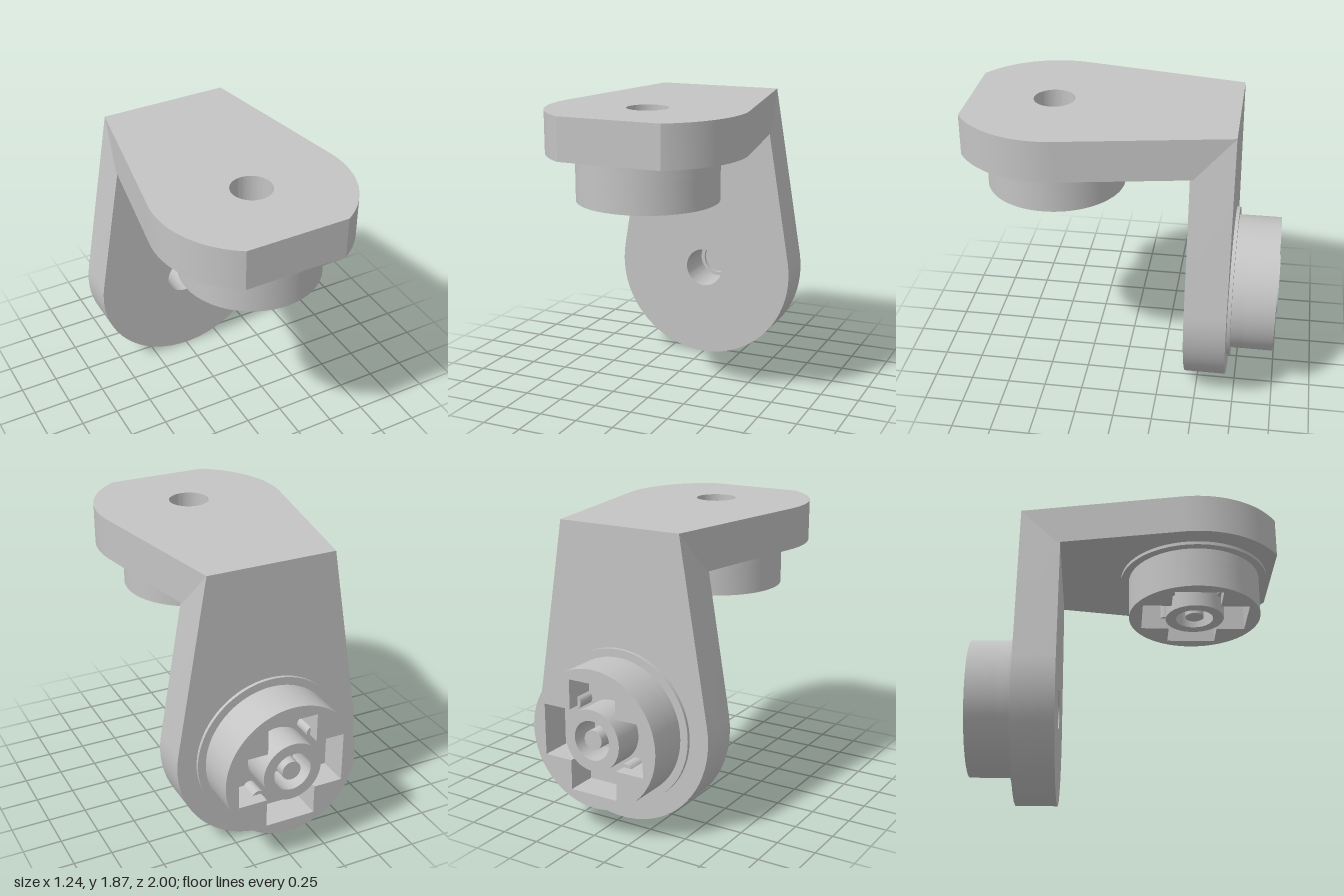
import * as THREE from 'three';
import { toCreasedNormals } from 'three/addons/utils/BufferGeometryUtils.js';

const grey = new THREE.MeshStandardMaterial({ color: 0xc4c4c4 });
grey.name = 'grey';

const R = 0.622;        // rounded end of each plate
const THICK = 0.265;    // plate thickness
const CORNER = 0.42;    // half width where the plates meet

const disc = (r, x = 0, y = 0) => new THREE.Shape().absarc(x, y, r, 0, Math.PI * 2, false);

// Extrude a shape from z0 to z1 with smooth curves and sharp edges
function slab(name, shape, z0, z1, holes = []) {
  shape.holes.push(...holes);
  const geo = new THREE.ExtrudeGeometry(shape, { depth: z1 - z0, bevelEnabled: false, curveSegments: 48 });
  geo.translate(0, 0, z0);
  const mesh = new THREE.Mesh(toCreasedNormals(geo, 0.5), grey);
  mesh.name = name;
  return mesh;
}

// Tapered plate outline: round end at the origin, narrow end at y = length
function plateShape(length, cut) {
  const t = Math.atan2(length, CORNER) - Math.acos(R / Math.hypot(CORNER, length));
  const c = Math.asin(cut / R);
  const points = [];
  const addArc = (from, to) => {
    for (let i = 0; i <= 40; i++) {
      const a = from + (to - from) * i / 40;
      points.push(new THREE.Vector2(R * Math.cos(a), R * Math.sin(a)));
    }
  };
  if (cut < R) {
    addArc(Math.PI - t, Math.PI + c);
    addArc(-c, t);
  } else {
    addArc(Math.PI - t, Math.PI * 2 + t);
  }
  points.push(new THREE.Vector2(CORNER, length), new THREE.Vector2(-CORNER, length));
  return new THREE.Shape(points);
}

// Plus-shaped pocket outline
function crossShape(reach, half) {
  const p = [];
  for (let i = 0; i < 4; i++) {
    for (const [x, y] of [[half, -half], [reach, -half], [reach, half]]) {
      p.push(new THREE.Vector2(x, y).rotateAround(new THREE.Vector2(), i * Math.PI / 2));
    }
  }
  return new THREE.Shape(p);
}

// One arm of the bracket: plate behind z = 0, drum in front of it
function arm(name, length, cut) {
  const g = new THREE.Group();
  g.name = name;
  g.add(
    slab('plate', plateShape(length, cut), -THICK, 0, [disc(0.13)]),
    slab('flange', disc(0.495), 0, 0.022, [disc(0.105)]),
    slab('drumBase', disc(0.443), 0.022, 0.1),
    slab('drumWall', disc(0.443), 0.1, 0.298, [crossShape(0.355, 0.165)]),
    slab('hub', disc(0.195), 0.1, 0.308, [disc(0.125)]),
    slab('hubPin', disc(0.062), 0.1, 0.295)
  );
  // Small pegs bulging out of the pocket's inner corners
  for (const x of [-0.183, 0.183]) {
    for (const y of [-0.183, 0.183]) g.add(slab('cornerPeg', disc(0.042, x, y), 0.1, 0.22));
  }
  return g;
}

export function createModel() {
  const model = new THREE.Group();
  model.name = 'angleBracket';

  // Upright arm, fully round end, drum facing back
  const upright = arm('uprightArm', 1.866 - R, R);
  upright.rotation.y = Math.PI;
  upright.position.set(0, R, -0.692);

  // Level arm, drum facing down, end cut flat at the front
  const level = arm('levelArm', 0.472 + 0.692, 0.528);
  level.rotation.set(-Math.PI / 2, Math.PI, 0);
  level.position.set(0, 1.866 - THICK, 0.472);

  model.add(upright, level);
  return model;
}
